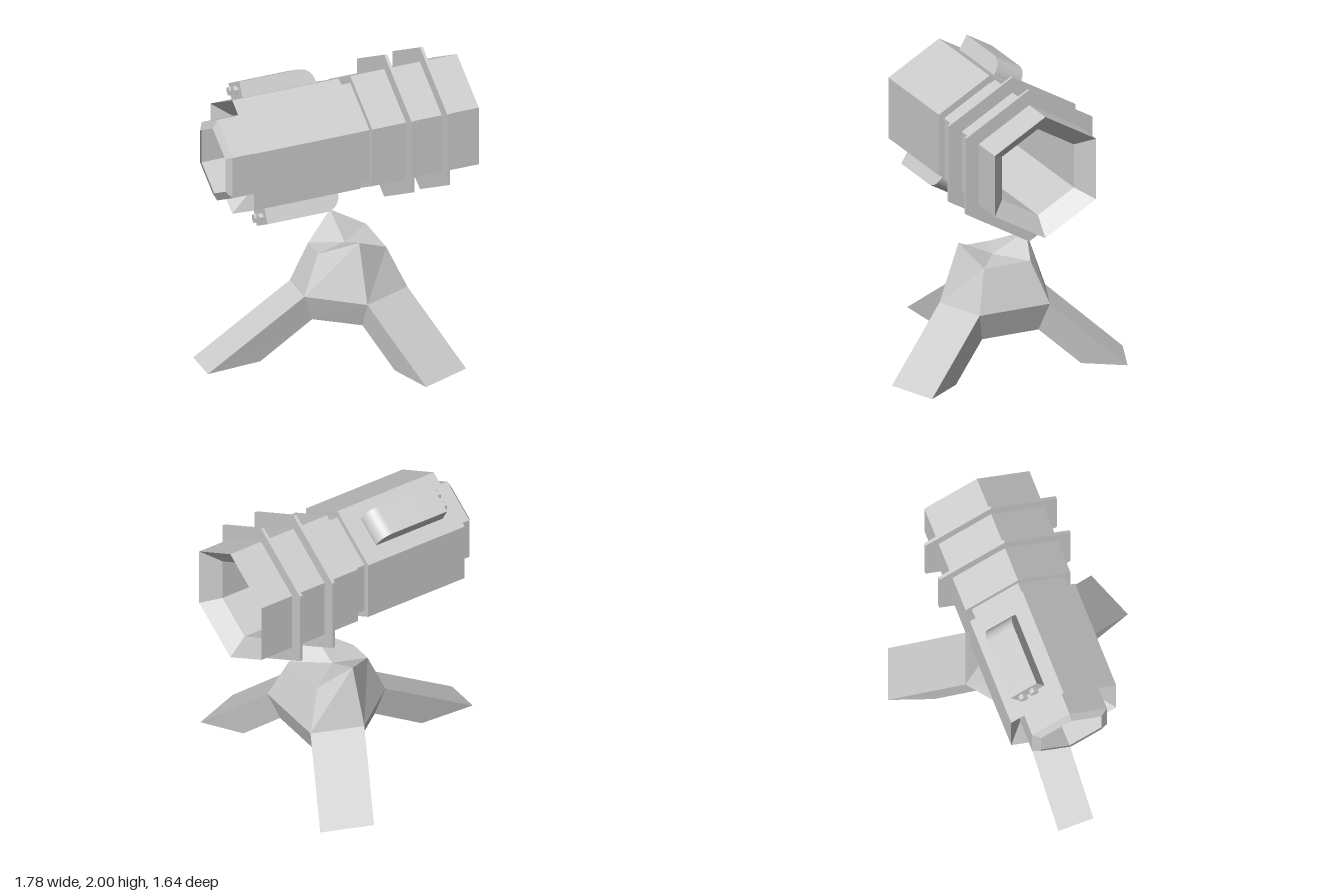
import * as THREE from 'three';
import { toCreasedNormals } from 'three/addons/utils/BufferGeometryUtils.js';

const AXIS_Y = 1.481; // height of the barrel axis

function add(parent, name, geometry) {
  const material = new THREE.MeshStandardMaterial({ color: 0xcccccc, flatShading: false, side: THREE.DoubleSide });
  const mesh = new THREE.Mesh(geometry, material);
  mesh.name = name;
  parent.add(mesh);
  return mesh;
}

// Hexagonal lathe along the x axis from [radius, x] points, ridge upwards
function hexLathe(points) {
  const lathe = new THREE.LatheGeometry(points.map(([r, x]) => new THREE.Vector2(r, x)), 6, Math.PI / 6);
  const g = lathe.toNonIndexed();
  g.rotateZ(-Math.PI / 2);
  g.computeVertexNormals();
  return g;
}

// Flat-shaded geometry from polygons (fans of corners)
function fromFaces(faces) {
  const pos = [];
  for (const f of faces)
    for (let i = 1; i < f.length - 1; i++) pos.push(...f[0], ...f[i], ...f[i + 1]);
  const g = new THREE.BufferGeometry();
  g.setAttribute('position', new THREE.Float32BufferAttribute(pos, 3));
  g.computeVertexNormals();
  return g;
}

// Six-cornered hub section: wide on +x, narrow on -x, with corners on the z axis
function hubRing(y, hx, wide, mid, narrow, midY = y) {
  const c = 0.11;
  return [
    [c + hx, y, wide], [c, midY, mid], [c - hx, y, narrow],
    [c - hx, y, -narrow], [c, midY, -mid], [c + hx, y, -wide],
  ];
}

function buildTripod() {
  const tripod = new THREE.Group();
  tripod.name = 'tripod';
  const low = hubRing(0.23, 0.265, 0.2, 0.295, 0.095);
  const middle = hubRing(0.42, 0.33, 0.25, 0.375, 0.12);
  const top = hubRing(0.69, 0.22, 0.165, 0.24, 0.08, 0.805);

  // Hub with a saddle-shaped top
  const faces = [];
  for (let i = 0; i < 6; i++) {
    const j = (i + 1) % 6;
    if (i % 2) faces.push([low[j], low[i], middle[i], middle[j]]);
    faces.push([middle[j], middle[i], top[i], top[j]]);
    faces.push([top[j], top[i], [0.11, 0.69, 0]]);
    faces.push([low[i], low[j], [0.11, 0.23, 0]]);
  }
  add(tripod, 'hub', fromFaces(faces));

  // Legs run from three sides of the hub to flat feet: [side, upper shift, lower shift]
  const legs = [
    ['frontLeg', 0, [0.22, 0.445], [0.12, 0.245]],
    ['rightLeg', 2, [-0.67, 0], [-0.36, 0]],
    ['backLeg', 4, [0.22, -0.445], [0.12, -0.245]],
  ];
  for (const [name, i, up, down] of legs) {
    const start = [low[i + 1], low[i], middle[i], middle[i + 1]];
    const end = start.map((p, k) => {
      const s = k < 2 ? down : up;
      return [p[0] + s[0], 0, p[2] + s[1]];
    });
    const sides = start.map((p, k) => {
      const n = (k + 1) % 4;
      return [p, start[n], end[n], end[k]];
    });
    add(tripod, name, fromFaces([...sides, end]));
  }
  return tripod;
}

// Rounded housing with two knobs, lying on one face of the barrel
function buildSidePod(name, angle) {
  const pod = new THREE.Group();
  pod.name = name;
  const s = new THREE.Shape();
  s.moveTo(-0.56, 0.35);
  s.lineTo(-0.05, 0.35);
  s.lineTo(-0.05, 0.365);
  s.absellipse(-0.15, 0.365, 0.1, 0.1, 0, Math.PI / 2, false);
  s.lineTo(-0.56, 0.465);
  s.closePath();
  const body = new THREE.ExtrudeGeometry(s, { depth: 0.206, bevelEnabled: false, curveSegments: 10 });
  body.translate(0, 0, -0.103);
  add(pod, 'podBody', toCreasedNormals(body, 0.6));

  for (const z of [-0.042, 0.042]) {
    for (const [part, r, x, length] of [['knobStem', 0.02, -0.57, 0.04], ['knobHead', 0.031, -0.582, 0.025]]) {
      const g = new THREE.CylinderGeometry(r, r, length, 6).toNonIndexed();
      g.rotateZ(Math.PI / 2);
      g.computeVertexNormals();
      add(pod, part, g).position.set(x, 0.415, z);
    }
  }
  pod.rotation.x = angle;
  return pod;
}

export function createModel() {
  const model = new THREE.Group();
  model.name = 'tripodScope';

  const barrel = new THREE.Group();
  barrel.name = 'barrel';
  barrel.position.y = AXIS_Y;
  model.add(barrel);

  // Hollow tube: nozzle, recessed rear, body, neck, front body, funnel mouth, bore
  add(barrel, 'tube', hexLathe([
    [0.238, -0.805], [0.295, -0.775], [0.295, -0.56], [0.415, -0.67],
    [0.415, 0.07], [0.365, 0.07], [0.365, 0.15], [0.415, 0.15],
    [0.415, 0.89], [0.295, 0.78], [0.295, -0.56],
  ]));

  // Thin hexagonal collars
  for (const x of [0.395, 0.643]) {
    const [a, b] = [x - 0.01, x + 0.01];
    add(barrel, 'collar', hexLathe([[0.41, a], [0.519, a], [0.519, b], [0.41, b]]));
  }

  barrel.add(buildSidePod('upperPod', -Math.PI / 6), buildSidePod('lowerPod', Math.PI * 5 / 6));
  model.add(buildTripod());
  return model;
}
